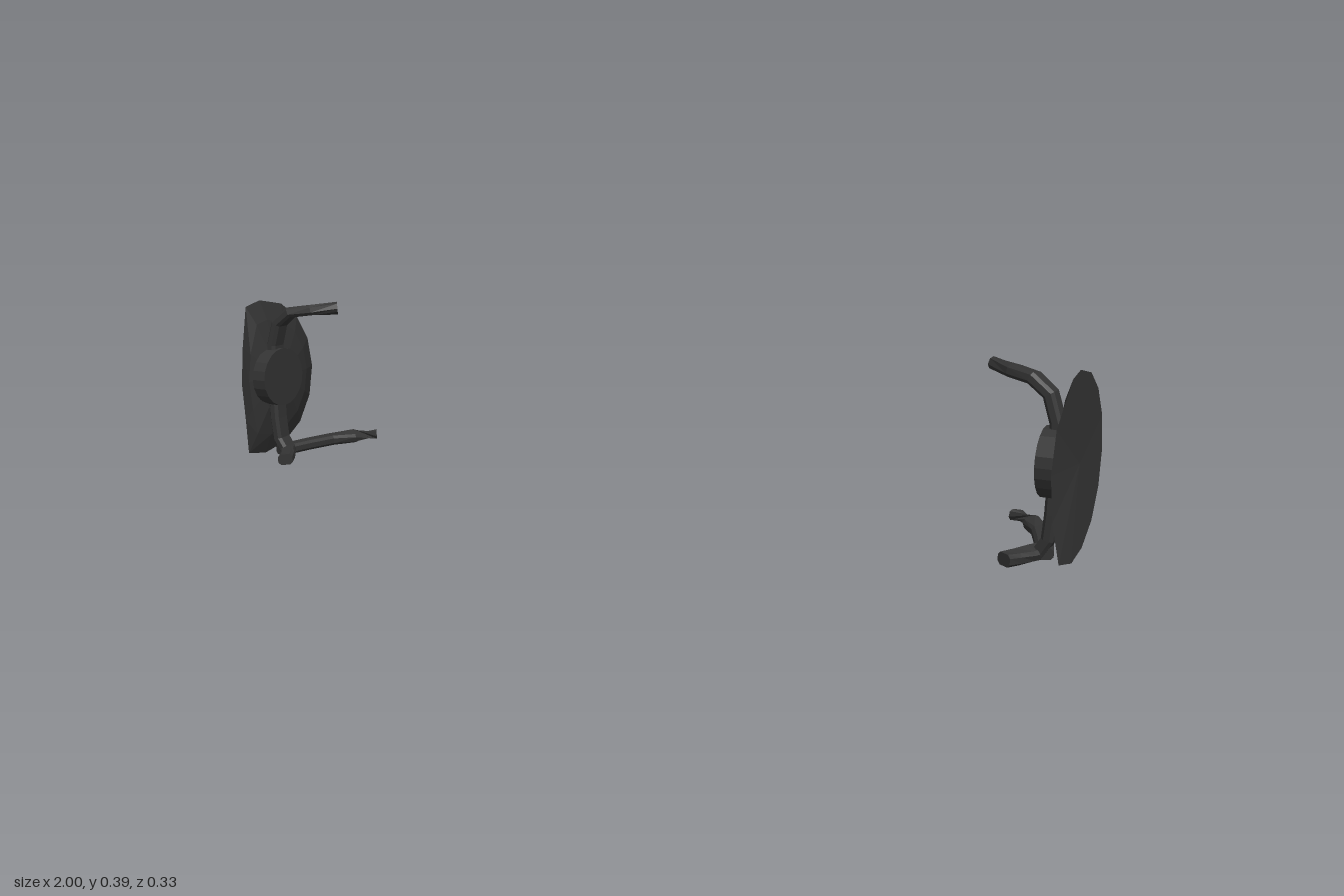
import * as THREE from 'three';

const material = new THREE.MeshStandardMaterial({ color: 0x333333, flatShading: true, side: THREE.DoubleSide });

// Joins equal-sized rings of points into a closed, capped surface
function loft(rings) {
  const n = rings[0].length, pos = [], index = [];
  rings.forEach(ring => ring.forEach(p => pos.push(p.x, p.y, p.z)));
  for (let i = 0; i < rings.length - 1; i++) {
    for (let j = 0; j < n; j++) {
      const a = i * n + j, b = i * n + (j + 1) % n;
      index.push(a, b, b + n, a, b + n, a + n);
    }
  }
  for (const [ring, flip] of [[0, true], [rings.length - 1, false]]) {
    const centre = pos.length / 3, c = new THREE.Vector3();
    rings[ring].forEach(p => c.add(p));
    c.divideScalar(n);
    pos.push(c.x, c.y, c.z);
    for (let j = 0; j < n; j++) {
      const a = ring * n + j, b = ring * n + (j + 1) % n;
      index.push(centre, flip ? b : a, flip ? a : b);
    }
  }
  const geometry = new THREE.BufferGeometry();
  geometry.setAttribute('position', new THREE.Float32BufferAttribute(pos, 3));
  geometry.setIndex(index);
  geometry.computeVertexNormals();
  return geometry;
}

// Chamfered flat bar along [x, y, z, angle]; the angle turns its width from +z towards +x
function bar(points, width, thickness) {
  const path = points.map(p => new THREE.Vector3(p[0], p[1], p[2]));
  const w = width / 2, t = thickness / 2, c = t * 0.5;
  const section = [[w, -t + c], [w, t - c], [w - c, t], [-w + c, t], [-w, t - c], [-w, -t + c], [-w + c, -t], [w - c, -t]];
  return loft(path.map((p, i) => {
    const tangent = path[Math.min(i + 1, path.length - 1)].clone().sub(path[Math.max(i - 1, 0)]).normalize();
    const angle = points[i][3];
    const side = new THREE.Vector3(Math.sin(angle), 0, Math.cos(angle));
    side.addScaledVector(tangent, -side.dot(tangent)).normalize();
    const normal = tangent.clone().cross(side);
    return section.map(([u, v]) => p.clone().addScaledVector(side, u).addScaledVector(normal, v));
  }));
}

// Outline of the outer plate as [z, y]
const outline = [
  [0.115, 0.375], [0.065, 0.385], [-0.013, 0.368], [-0.07, 0.328], [-0.108, 0.27], [-0.122, 0.197], [-0.108, 0.125],
  [-0.068, 0.063], [-0.005, 0.022], [0.065, 0.008], [0.132, 0.02], [0.15, 0.105], [0.162, 0.197], [0.15, 0.283],
];

// Flat outside, shallow dome inside, front edge bent slightly inwards
function plate() {
  const ring = (scale, x) => outline.map(([z, y]) => {
    const bend = scale === 1 ? 0.02 * THREE.MathUtils.smoothstep(z, 0.115, 0.162) : 0;
    return new THREE.Vector3(x - bend, 0.197 + (y - 0.197) * scale, 0.05 + (z - 0.05) * scale);
  });
  return loft([ring(0.4, 0.968), ring(0.75, 0.982), ring(1, 1)]);
}

function earPiece(name) {
  const group = new THREE.Group();
  group.name = name;
  const add = (part, geometry) => {
    const mesh = new THREE.Mesh(geometry, material);
    mesh.name = part;
    group.add(mesh);
    return mesh;
  };
  add('outerPlate', plate());

  // Round hub on the inner side
  const hub = add('hub', new THREE.CylinderGeometry(0.07, 0.07, 0.036, 20));
  hub.rotation.z = Math.PI / 2;
  hub.position.set(0.956, 0.202, 0.06);

  // Upper arm curls inwards, then back
  add('upperArm', bar([
    [0.962, 0.2, 0.06, 0], [0.96, 0.28, 0.06, 0], [0.944, 0.333, 0.06, 0], [0.91, 0.361, 0.058, 0.05],
    [0.865, 0.367, 0.037, 0.45], [0.817, 0.37, -0.003, 0.75],
  ], 0.042, 0.025));

  // Stem that drops from the hub to the fork
  add('lowerStem', bar([
    [0.962, 0.2, 0.06, 0], [0.958, 0.1, 0.06, 0], [0.953, 0.05, 0.058, 0], [0.935, 0.021, 0.056, 0],
  ], 0.042, 0.025));

  // Long prong runs back, short prong runs forward
  add('longProng', bar([
    [0.948, 0.021, 0.07, 1.4], [0.94, 0.022, 0.04, 1.35], [0.924, 0.025, -0.005, 1.25],
    [0.9, 0.028, -0.065, 1.1], [0.866, 0.031, -0.115, 0.85], [0.824, 0.033, -0.15, 0.7],
  ], 0.036, 0.024));
  add('shortProng', bar([
    [0.945, 0.023, 0.045, -0.95], [0.922, 0.02, 0.073, -0.9], [0.902, 0.016, 0.1, -1], [0.886, 0.015, 0.126, -1.05],
  ], 0.035, 0.026));
  return group;
}

export function createModel() {
  const model = new THREE.Group();
  model.name = 'earPieces';
  const left = earPiece('leftEarPiece');
  const right = earPiece('rightEarPiece');
  right.scale.x = -1;
  model.add(left, right);
  return model;
}
